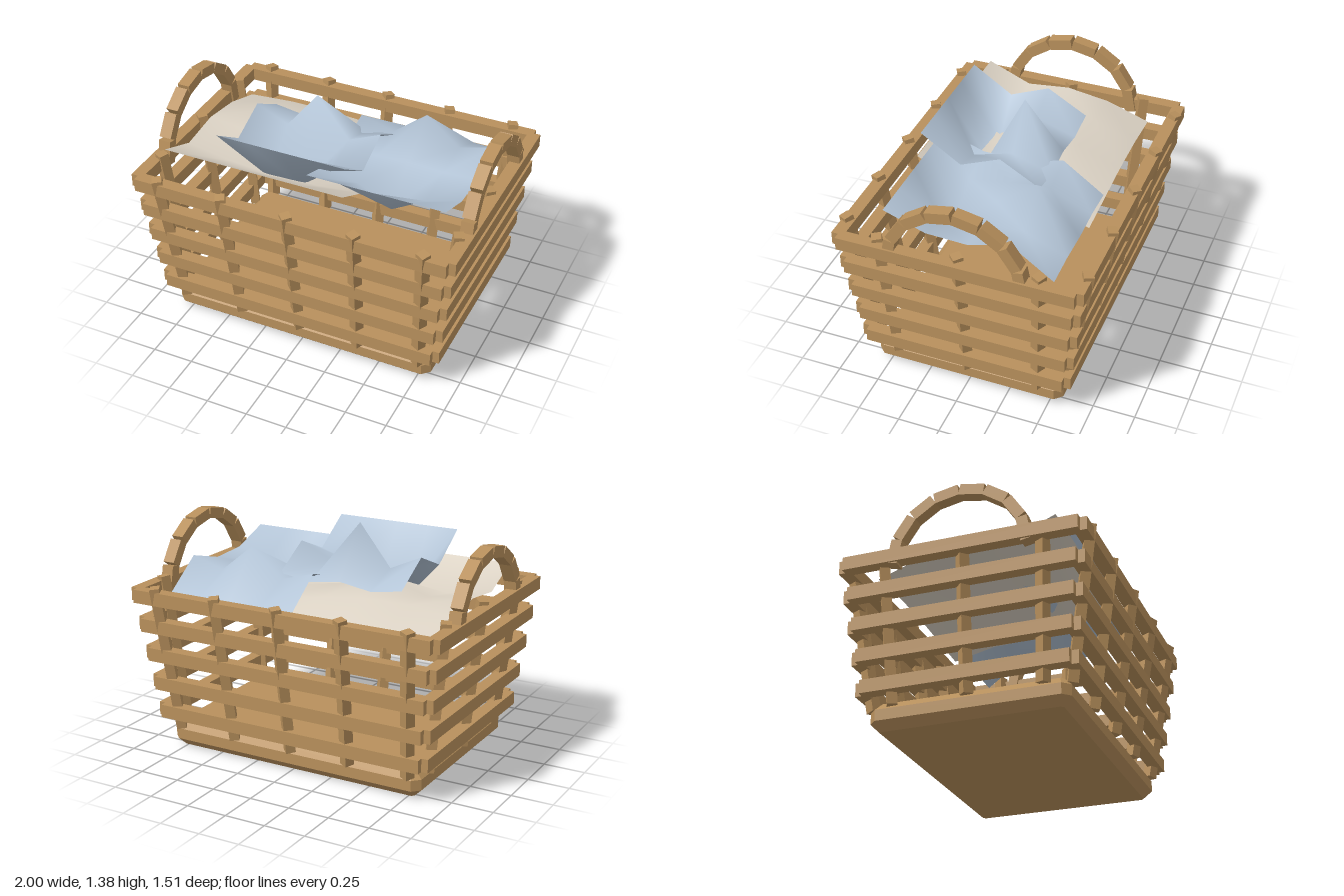
import * as THREE from 'three';

const wood = new THREE.MeshStandardMaterial({ color: 0xb8905c });
wood.name = 'wood';
const blue = new THREE.MeshStandardMaterial({ color: 0xb4c5d7, side: THREE.DoubleSide });
blue.name = 'blue cloth';
const cream = new THREE.MeshStandardMaterial({ color: 0xdcd3c5, side: THREE.DoubleSide });
cream.name = 'cream cloth';

function add(parent, name, geometry, material, x = 0, y = 0, z = 0) {
  const mesh = new THREE.Mesh(geometry, material);
  mesh.name = name;
  mesh.position.set(x, y, z);
  parent.add(mesh);
  return mesh;
}

// Bevelled base slab with clipped corners
function baseGeometry() {
  const w = 0.78, d = 0.53, c = 0.015;
  const shape = new THREE.Shape([
    [w, -d + c], [w, d - c], [w - c, d], [-w + c, d],
    [-w, d - c], [-w, -d + c], [-w + c, -d], [w - c, -d],
  ].map(([x, y]) => new THREE.Vector2(x, y)));
  const g = new THREE.ExtrudeGeometry(shape, {
    depth: 0.065, bevelEnabled: true, bevelSize: 0.05, bevelThickness: 0.05, bevelSegments: 1,
  });
  g.rotateX(-Math.PI / 2);
  return g.translate(0, 0.05, 0);
}

// Square post leaning from a low point to a high point
function addPost(parent, low, high, twist) {
  const a = new THREE.Vector3(...low), b = new THREE.Vector3(...high);
  const dir = b.clone().sub(a);
  const g = new THREE.BoxGeometry(0.058, dir.length(), 0.058).rotateY(twist);
  const post = add(parent, 'post', g, wood);
  post.position.copy(a).add(b).multiplyScalar(0.5);
  post.quaternion.setFromUnitVectors(new THREE.Vector3(0, 1, 0), dir.normalize());
}

// Crumpled cloth: a sheet lifted by rows of heights, back row first
function addCloth(parent, name, material, [x0, x1], [z0, z1], rows) {
  const g = new THREE.PlaneGeometry(x1 - x0, z1 - z0, rows[0].length - 1, rows.length - 1);
  g.rotateX(-Math.PI / 2);
  rows.flat().forEach((y, i) => g.attributes.position.setY(i, y));
  g.computeVertexNormals();
  add(parent, name, g, material, (x0 + x1) / 2, 0, (z0 + z1) / 2);
}

export function createModel() {
  const model = new THREE.Group();
  model.name = 'laundry basket';
  add(model, 'base', baseGeometry(), wood);

  // Five rings of slats, widening upward
  const slats = new THREE.Group();
  slats.name = 'slats';
  model.add(slats);
  const t = 0.075, h = 0.08;
  for (const [y, x, z] of [
    [0.235, 0.9, 0.645], [0.417, 0.922, 0.667], [0.602, 0.947, 0.69],
    [0.785, 0.972, 0.713], [0.965, 1.0, 0.737],
  ]) {
    for (const s of [-1, 1]) {
      add(slats, 'longSlat', new THREE.BoxGeometry(2 * x - 0.08, h, t), wood, 0, y, s * (z - t / 2));
      add(slats, 'shortSlat', new THREE.BoxGeometry(t, h, 2 * z - 0.08), wood, s * (x - t / 2), y, 0);
    }
  }

  // Leaning posts
  const posts = new THREE.Group();
  posts.name = 'posts';
  model.add(posts);
  for (const s of [-1, 1]) {
    for (let i = -2; i <= 2; i++) {
      const twist = Math.PI / 4 + Math.sign(i) * s * 0.3;
      addPost(posts, [i * 0.38, 0.13, s * 0.575], [i * 0.41, 1.03, s * 0.715], twist);
    }
    for (let i = -1; i <= 1; i++) {
      const twist = Math.PI / 4 - i * s * 0.3;
      addPost(posts, [s * 0.825, 0.13, i * 0.435], [s * 0.93, 1.03, i * 0.475], twist);
    }
  }

  // Arched handles made of straight blocks
  for (const s of [-1, 1]) {
    const handle = new THREE.Group();
    handle.name = s > 0 ? 'leftHandle' : 'rightHandle';
    handle.position.set(s * 0.95, 0.915, 0);
    model.add(handle);
    const r = 0.392;
    for (let i = 0; i < 8; i++) {
      const a = (i + 0.5) * Math.PI / 8;
      const block = add(handle, 'handleBlock', new THREE.BoxGeometry(0.075, 0.066, 0.148), wood,
        0, r * Math.sin(a), r * Math.cos(a));
      block.rotation.x = Math.PI / 2 - a;
    }
  }

  // Heap of crumpled cloths
  addCloth(model, 'creamCloth', cream, [-0.87, 0.26], [-0.53, 0.53], [
    [0.9, 0.92, 0.92, 0.9, 0.88],
    [0.99, 1.02, 1.02, 0.98, 0.94],
    [1.03, 1.0, 1.09, 1.0, 0.95],
    [1.0, 0.95, 0.93, 0.94, 0.97],
    [1.11, 1.11, 1.11, 1.11, 1.11],
  ]);
  addCloth(model, 'sideBlueCloth', blue, [0.01, 0.845], [-0.53, 0.47], [
    [0.94, 0.95, 0.94, 0.95, 0.94],
    [1.12, 1.06, 1.23, 1.06, 1.12],
    [1.05, 1.04, 1.05, 1.04, 1.05],
    [1.06, 1.0, 0.88, 1.0, 1.06],
    [1.15, 1.15, 1.15, 1.15, 1.15],
  ]);
  addCloth(model, 'topBlueCloth', blue, [-0.535, 0.262], [-0.23, 0.5], [
    [1.08, 1.05, 1.08, 1.05, 1.08],
    [1.22, 1.13, 1.38, 1.13, 1.22],
    [1.12, 0.9, 0.9, 1.06, 1.12],
    [1.28, 1.28, 1.28, 1.28, 1.28],
  ]);
  return model;
}
